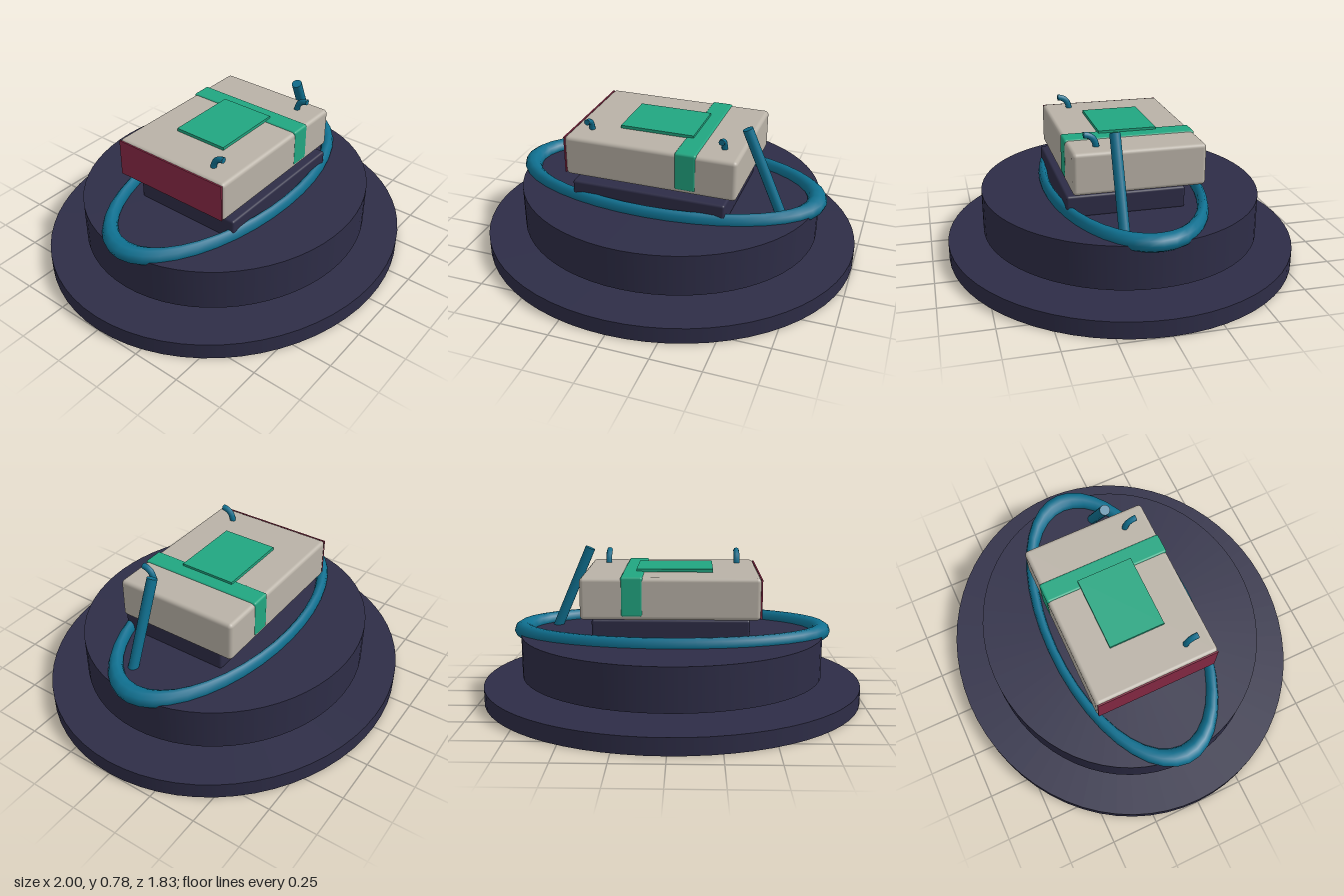
import * as THREE from 'three';
import { RoundedBoxGeometry } from 'three/addons/geometries/RoundedBoxGeometry.js';

const material = (name, color) => {
  const m = new THREE.MeshStandardMaterial({ color });
  m.name = name;
  return m;
};

export function createModel() {
  const model = new THREE.Group();
  const navy = material('navy', 0x2e2d47);
  const cream = material('cream', 0xb9b2a7);
  const green = material('green', 0x21a681);
  const blue = material('blue', 0x0f7090);
  const red = material('red', 0x8a2a46);

  const add = (name, geometry, mat, x = 0, y = 0, z = 0) => {
    const mesh = new THREE.Mesh(geometry, mat);
    mesh.name = name;
    mesh.position.set(x, y, z);
    model.add(mesh);
    return mesh;
  };
  // Box given by its lower and upper limits
  const box = (name, mat, [x0, y0, z0], [x1, y1, z1], radius = 0) => {
    const size = [x1 - x0, y1 - y0, z1 - z0];
    const geometry = radius
      ? new RoundedBoxGeometry(...size, 3, radius)
      : new THREE.BoxGeometry(...size);
    return add(name, geometry, mat, (x0 + x1) / 2, (y0 + y1) / 2, (z0 + z1) / 2);
  };
  // Oval disc between two heights
  const disc = (name, rx, rz, y0, y1) => {
    const geometry = new THREE.CylinderGeometry(1, 1, y1 - y0, 64);
    add(name, geometry, navy, 0, (y0 + y1) / 2).scale.set(rx, 1, rz);
  };

  // Two stacked discs with a gap between them
  disc('baseDisc', 1, 0.913, 0, 0.086);
  disc('upperDisc', 0.795, 0.725, 0.129, 0.35);

  // Plinth and main block
  box('plinth', navy, [-0.4, 0.345, -0.24], [0.4, 0.456, 0.355], 0.012);
  box('block', cream, [-0.447, 0.473, -0.33], [0.447, 0.684, 0.33], 0.02);
  box('spinePlate', red, [-0.453, 0.482, -0.325], [-0.445, 0.678, 0.325]);
  box('ribbon', red, [0.23, 0.45, 0.185], [0.28, 0.48, 0.2]);

  // Strap over the block and label on its top
  box('strap', green, [0.135, 0.49, -0.333], [0.245, 0.69, 0.333], 0.012);
  box('label', green, [-0.213, 0.686, -0.15], [0.175, 0.702, 0.146]);

  // Oval ring, stretched so its tube is thickest at the sides
  const ring = add('ring', new THREE.TorusGeometry(0.79, 0.05, 10, 40).rotateX(Math.PI / 2), blue, 0, 0.358);
  ring.scale.set(1, 0.86, 0.49);

  // Curved hooks leaning forward
  for (const side of [-1, 1]) {
    const path = new THREE.QuadraticBezierCurve3(
      new THREE.Vector3(0, 0, 0),
      new THREE.Vector3(0, 0.064, 0.005),
      new THREE.Vector3(0, 0.067, 0.062));
    const hook = new THREE.Group();
    hook.name = side < 0 ? 'rightHook' : 'leftHook';
    hook.position.set(side * 0.35, 0.677, 0.196);
    const tube = new THREE.Mesh(new THREE.TubeGeometry(path, 10, 0.016, 8), blue);
    tube.name = 'hookTube';
    const cap = new THREE.Mesh(new THREE.CircleGeometry(0.016, 8), blue);
    cap.name = 'hookEnd';
    cap.position.copy(path.getPoint(1));
    hook.add(tube, cap);
    model.add(hook);
  }

  // Leaning rod
  const foot = new THREE.Vector3(0.633, 0.333, 0.127);
  const tip = new THREE.Vector3(0.443, 0.773, 0.127);
  const lean = tip.clone().sub(foot);
  const rod = add('rod', new THREE.CylinderGeometry(0.027, 0.027, lean.length(), 14), blue);
  rod.position.copy(foot).add(tip).multiplyScalar(0.5);
  rod.quaternion.setFromUnitVectors(new THREE.Vector3(0, 1, 0), lean.normalize());

  return model;
}
